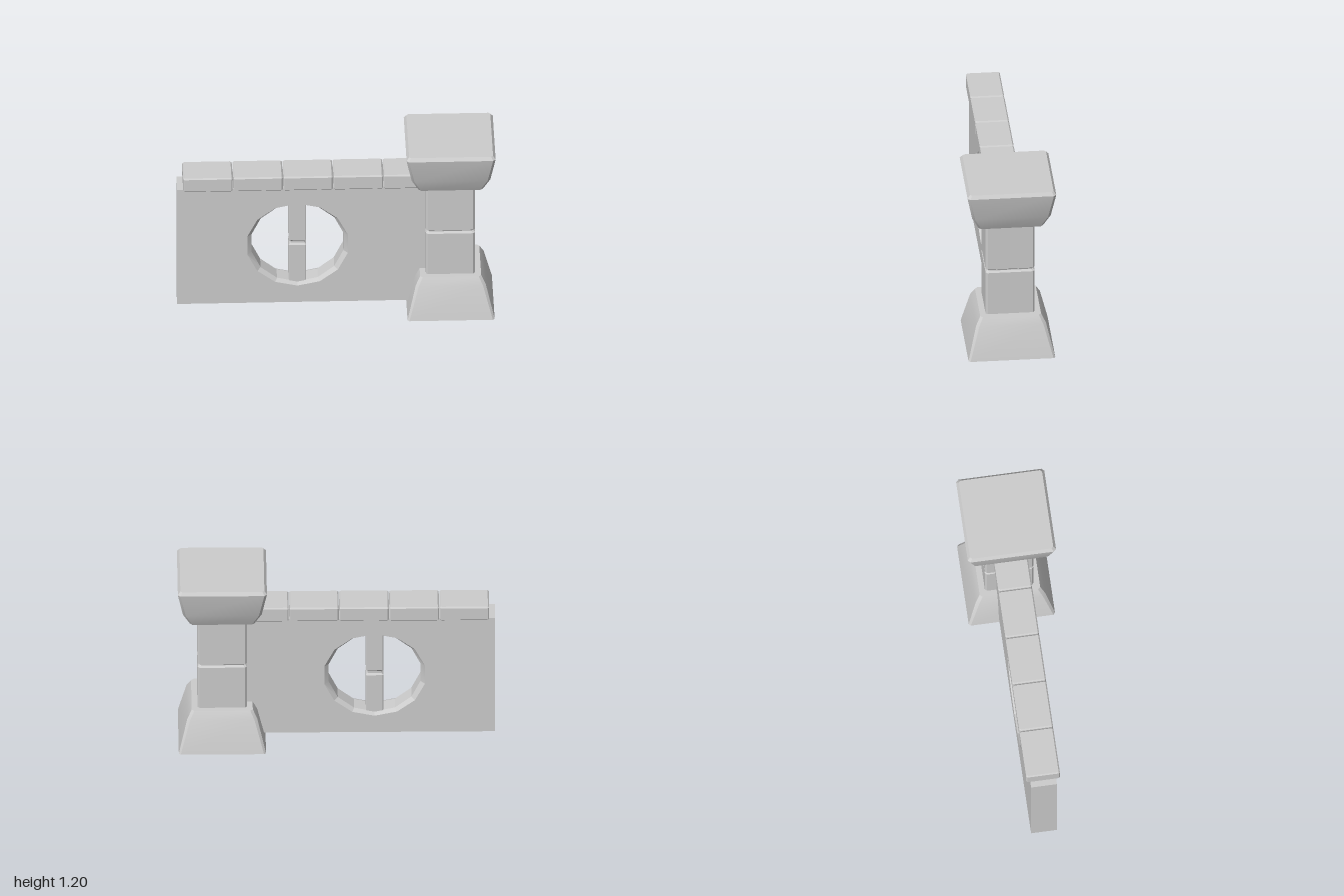
import * as THREE from 'three';
import { toCreasedNormals } from 'three/addons/utils/BufferGeometryUtils.js';

const material = new THREE.MeshStandardMaterial({ color: 0xcccccc });

// Skin a list of equal-length point rings, optionally closing both ends
function loft(rings, capped = true) {
  const n = rings[0].length;
  const index = [];
  for (let r = 0; r < rings.length - 1; r++) {
    for (let i = 0; i < n; i++) {
      const j = (i + 1) % n;
      const a = r * n + i, b = r * n + j;
      index.push(a, b, b + n, a, b + n, a + n);
    }
  }
  if (capped) {
    const top = (rings.length - 1) * n;
    for (let i = 1; i < n - 1; i++) {
      index.push(0, i + 1, i, top, top + i, top + i + 1);
    }
  }
  const geometry = new THREE.BufferGeometry();
  geometry.setAttribute('position', new THREE.Float32BufferAttribute(rings.flat(2), 3));
  geometry.setIndex(index);
  return toCreasedNormals(geometry, 0.35);
}

// Horizontal rectangle with clipped corners
function clippedRect(y, hx, hz, c) {
  return [
    [hx, y, hz - c], [hx, y, c - hz], [hx - c, y, -hz], [c - hx, y, -hz],
    [-hx, y, c - hz], [-hx, y, hz - c], [c - hx, y, hz], [hx - c, y, hz],
  ];
}

// Square stone from [y, half width, corner clip] levels, bottom to top
const squareStone = (levels) => loft(levels.map(([y, h, c]) => clippedRect(y, h, h, c)));

// Fourteen-sided ring facing +z
function holeRing(z, rx, ry) {
  return Array.from({ length: 14 }, (_, i) => {
    const a = Math.PI / 2 + (i / 14) * Math.PI * 2;
    return [HOLE_X + rx * Math.cos(a), HOLE_Y + ry * Math.sin(a), z];
  });
}

const HOLE_X = -0.243, HOLE_Y = 0.462, PILLAR_X = 0.716, WALL_Z = 0.082;

export function createModel() {
  const model = new THREE.Group();
  model.name = 'gardenWall';
  const add = (name, geometry, x = 0, parent = model) => {
    const mesh = new THREE.Mesh(geometry, material);
    mesh.name = name;
    mesh.position.x = x;
    parent.add(mesh);
  };

  // Wall slab with a round window
  const outline = new THREE.Shape([
    [-1, 0.04], [0.72, 0.04], [0.72, 0.88], [-1, 0.88],
  ].map(([x, y]) => new THREE.Vector2(x, y)));
  outline.holes.push(new THREE.Path(
    holeRing(0, 0.324, 0.302).reverse().map(([x, y]) => new THREE.Vector2(x, y))));
  const slab = new THREE.ExtrudeGeometry(outline, { depth: WALL_Z * 2, bevelEnabled: false });
  slab.translate(0, 0, -WALL_Z);
  add('wall', slab);

  // Chamfered lining of the window
  add('windowRim', loft([
    holeRing(WALL_Z, 0.324, 0.302),
    holeRing(WALL_Z - 0.03, 0.296, 0.288),
    holeRing(0.03 - WALL_Z, 0.296, 0.288),
    holeRing(-WALL_Z, 0.324, 0.302),
  ], false));

  // Grooved post standing in the window
  add('windowPost', squareStone([
    [0.12, 0.055, 0.004], [0.443, 0.055, 0.004], [0.454, 0.044, 0.004],
    [0.468, 0.044, 0.004], [0.48, 0.055, 0.004], [0.8, 0.055, 0.004],
  ]), HOLE_X);

  // Row of coping stones
  const coping = new THREE.Group();
  coping.name = 'coping';
  model.add(coping);
  const e = 0.008, hx = 0.1555, hz = 0.107;
  const copingStone = loft([
    clippedRect(0.875, hx - e, hz - e, e / 2), clippedRect(0.875 + e, hx, hz, e),
    clippedRect(0.975 - e, hx, hz, e), clippedRect(0.975, hx - e, hz - e, e / 2),
  ]);
  for (let i = 0; i < 5; i++) add('copingStone', copingStone, -0.807 + i * 0.315, coping);

  // Pillar: flared foot, grooved shaft and flared cap
  const pillar = new THREE.Group();
  pillar.name = 'pillar';
  pillar.position.x = PILLAR_X;
  model.add(pillar);
  add('pillarBase', squareStone([
    [0, 0.274, 0.012], [0.22, 0.22, 0.018], [0.272, 0.192, 0.016],
  ]), 0, pillar);
  add('pillarShaft', squareStone([
    [0.25, 0.155, 0.013], [0.568, 0.155, 0.013], [0.579, 0.143, 0.012],
    [0.584, 0.143, 0.012], [0.594, 0.155, 0.013], [0.91, 0.155, 0.013],
  ]), 0, pillar);
  add('pillarCap', squareStone([
    [0.89, 0.155, 0.012], [0.917, 0.203, 0.016], [1.01, 0.248, 0.018],
    [1.175, 0.28, 0.016], [1.197, 0.264, 0.012],
  ]), 0, pillar);

  return model;
}
